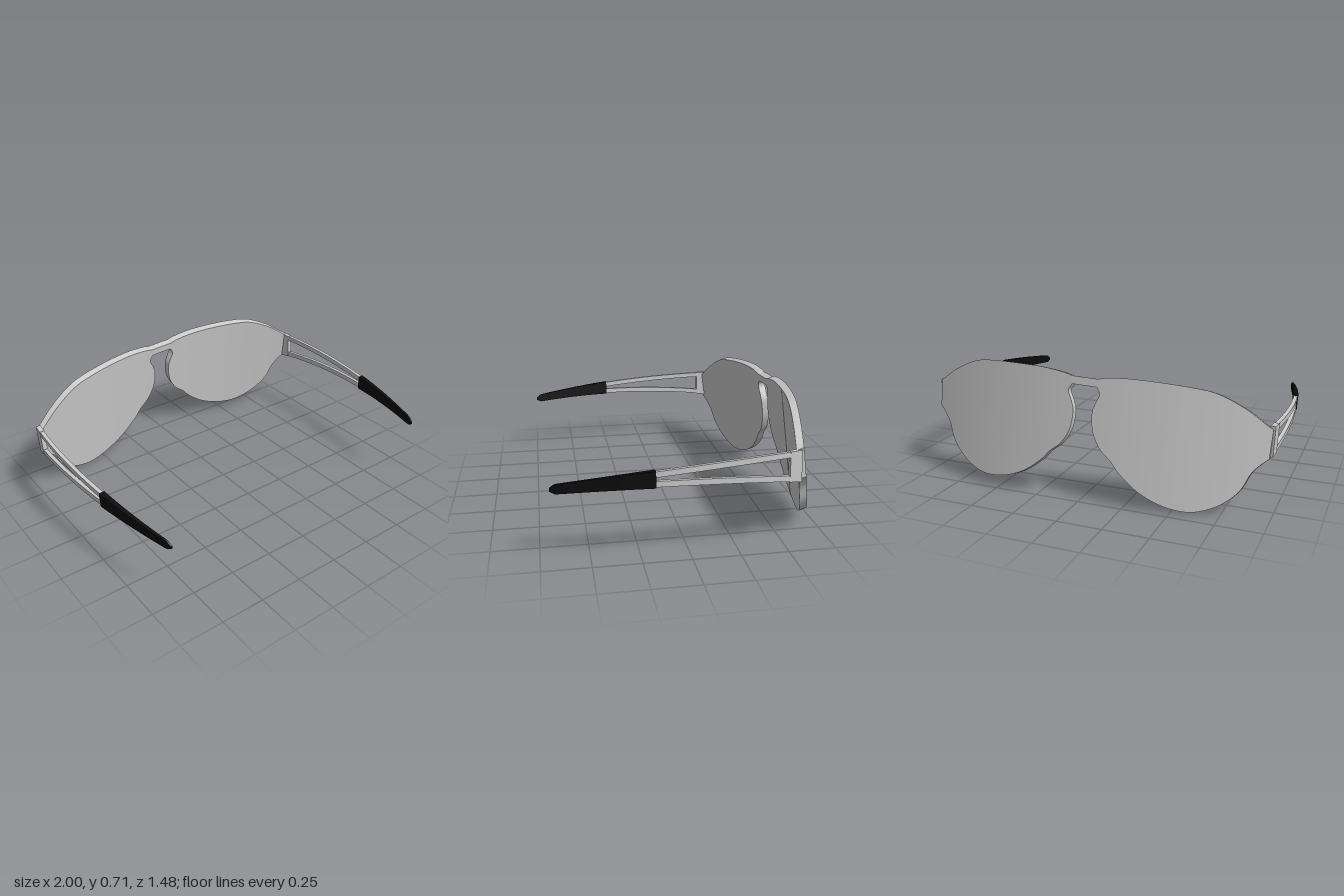
import * as THREE from 'three';
import { toCreasedNormals } from 'three/addons/utils/BufferGeometryUtils.js';
import { ParametricGeometry } from 'three/addons/geometries/ParametricGeometry.js';

const grey = new THREE.MeshStandardMaterial({ color: 0xcccccc });
const black = new THREE.MeshStandardMaterial({ color: 0x0c0c0c });
const THICK = 0.04;

// Wrapped, leaning front of the glasses; depth 0 = outer face, 1 = face toward the wearer
const wrap = (x, y, depth, target) => target.set(
  x, y - 0.012 * depth,
  -0.685 + 0.18 * x * x + 0.125 * (y - 0.65) + THICK * depth);

// Parabola through three [z, value] points
const parabola = ([a, fa], [b, fb], [c, fc]) => {
  const m = (fb - fa) / (b - a);
  const k = ((fc - fb) / (c - b) - m) / (c - a);
  return (z) => fa + m * (z - a) + k * (z - a) * (z - b);
};

// Temple arm: sideways bow, upper edge and lower edge along z
const armX = parabola([-0.5, 0.963], [0, 0.985], [0.71, 0.888]);
const armTop = parabola([-0.49, 0.485], [0.21, 0.438], [0.71, 0.377]);
const armBottom = parabola([-0.49, 0.328], [0.21, 0.36], [0.71, 0.337]);

function add(parent, name, geometry, material) {
  const mesh = new THREE.Mesh(toCreasedNormals(geometry, 0.6), material);
  mesh.name = name;
  parent.add(mesh);
}

// Outline of the left lens, from the hinge edge over the brow and round the nose
function lensOutline() {
  const shape = new THREE.Shape();
  shape.moveTo(0.96, 0.332);
  shape.lineTo(0.964, 0.486);
  shape.splineThru([
    [0.938, 0.5], [0.83, 0.577], [0.687, 0.646], [0.555, 0.669], [0.367, 0.681],
    [0.207, 0.681], [0.078, 0.662], [0.07, 0.62], [0.088, 0.583], [0.068, 0.534],
    [0.053, 0.479], [0.065, 0.383], [0.11, 0.299], [0.173, 0.243], [0.229, 0.18],
    [0.34, 0.095], [0.475, 0.04], [0.603, 0.026], [0.712, 0.058], [0.79, 0.109],
    [0.844, 0.17], [0.879, 0.248], [0.922, 0.3], [0.96, 0.332],
  ].map(([x, y]) => new THREE.Vector2(x, y)));
  return shape.getPoints(5);
}

// Lens shell: rings grow from the centre of the back, cross the rim, shrink over the front
function lensGeometry(side) {
  const outline = lensOutline();
  const n = outline.length - 1;
  const rings = 10;
  const stacks = rings * 2 + 1;
  const cx = 0.5, cy = 0.38;
  return new ParametricGeometry((u, v, target) => {
    const p = outline[Math.round((side > 0 ? 1 - u : u) * n)];
    const i = Math.round(v * stacks);
    const back = i <= rings;
    const t = (back ? i : stacks - i) / rings;
    wrap(side * (cx + (p.x - cx) * t), cy + (p.y - cy) * t, back ? 1 : 0, target);
  }, n, stacks);
}

// Curved bar across the nose
function bridgeGeometry() {
  const geo = new THREE.BoxGeometry(0.18, 0.043, 1, 8, 1, 1);
  const pos = geo.attributes.position;
  const v = new THREE.Vector3();
  for (let i = 0; i < pos.count; i++) {
    v.fromBufferAttribute(pos, i);
    wrap(v.x, v.y + 0.64, v.z + 0.5, v);
    pos.setXYZ(i, v.x, v.y, v.z);
  }
  return geo;
}

// Box swept along the temple between z0 and z1, with its own edges and width
function armGeometry(side, z0, z1, bottom, top, width) {
  const geo = new THREE.BoxGeometry(1, 1, 1, 1, 1, 20);
  const pos = geo.attributes.position;
  for (let i = 0; i < pos.count; i++) {
    const z = THREE.MathUtils.lerp(z0, z1, pos.getZ(i) + 0.5);
    const lift = -side * (0.012 + 0.007 * (z + 0.5));
    const y = THREE.MathUtils.lerp(bottom(z), top(z), pos.getY(i) + 0.5);
    pos.setXYZ(i, side * armX(z) + pos.getX(i) * width(z), y + lift, z);
  }
  return geo;
}

export function createModel() {
  const model = new THREE.Group();
  model.name = 'sunglasses';
  add(model, 'bridge', bridgeGeometry(), grey);

  for (const side of [1, -1]) {
    const label = side > 0 ? 'left' : 'right';
    add(model, label + 'Lens', lensGeometry(side), grey);

    const temple = new THREE.Group();
    temple.name = label + 'Temple';
    model.add(temple);
    const barWidth = () => 0.022;

    // Hinge block joining the lens edge to the two bars
    add(temple, 'hinge', armGeometry(side, -0.53, -0.465,
      (z) => armBottom(z) - 0.002, (z) => armTop(z) + 0.002, () => 0.028), grey);
    // Forked bars that close up toward the ear
    add(temple, 'upperBar', armGeometry(side, -0.47, 0.23,
      (z) => armTop(z) - 0.03, armTop, barWidth), grey);
    add(temple, 'lowerBar', armGeometry(side, -0.47, 0.23,
      armBottom, (z) => armBottom(z) + 0.03, barWidth), grey);
    // Rubber ear grip, thinning and rounding off at its end
    const round = (z) => 0.014 * Math.max(0, (z - 0.68) / 0.03) ** 2;
    add(temple, 'earGrip', armGeometry(side, 0.21, 0.712,
      (z) => armBottom(z) - 0.004 + round(z), (z) => armTop(z) + 0.004 - round(z),
      (z) => THREE.MathUtils.mapLinear(z, 0.21, 0.71, 0.032, 0.01)), black);
  }

  // The glasses rest slightly askew
  model.position.x = 0.022;
  model.rotation.set(0, 0.027, 0.043);
  const root = new THREE.Group();
  root.name = 'model';
  root.add(model);
  return root;
}
